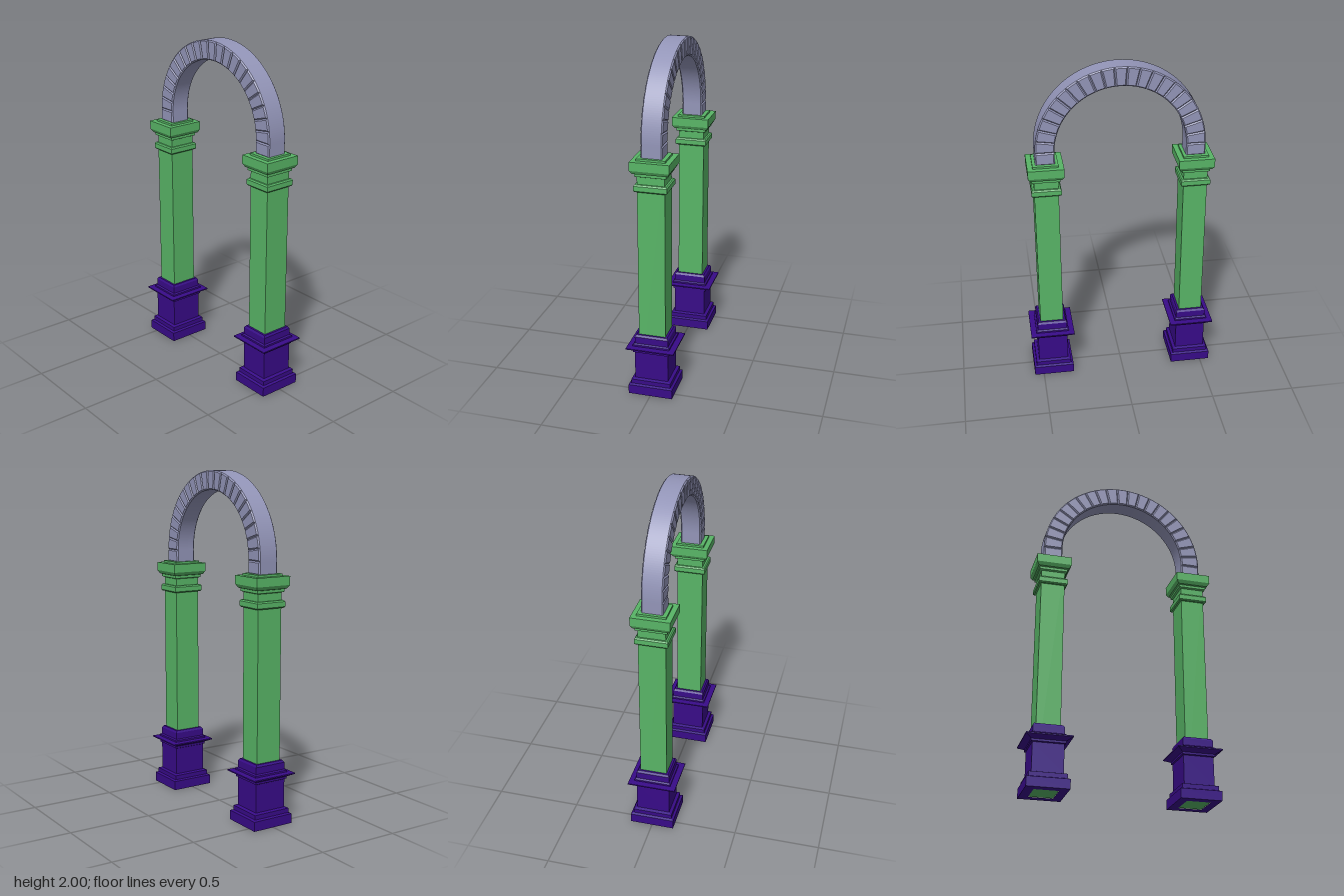
import * as THREE from 'three';

const purple = new THREE.MeshStandardMaterial({ color: 0x380b88, flatShading: true });
const green = new THREE.MeshStandardMaterial({ color: 0x58b566, flatShading: true });
const stone = new THREE.MeshStandardMaterial({ color: 0x9395b8, flatShading: true });

const HALF_X = 0.07, HALF_Z = 0.079; // pillar shaft half sizes
const PILLAR_X = 0.434;
const SPRING_Y = 1.51, OUTER = 0.49, INNER = 0.378, ARCH_HALF_Z = 0.062;

// Sweeps a moulding profile of [offset from shaft, y] around the rectangular shaft.
function moulding(name, profile, material) {
  const pos = [];
  const corner = ([o, y], k) => [
    (k === 0 || k === 3 ? 1 : -1) * (HALF_X + o), y, (k < 2 ? 1 : -1) * (HALF_Z + o)];
  for (let i = 0; i < profile.length - 1; i++) {
    for (let k = 0; k < 4; k++) {
      const n = (k + 1) % 4;
      const a = corner(profile[i], k), b = corner(profile[i], n);
      const c = corner(profile[i + 1], n), d = corner(profile[i + 1], k);
      pos.push(...a, ...c, ...b, ...a, ...d, ...c);
    }
  }
  const geo = new THREE.BufferGeometry();
  geo.setAttribute('position', new THREE.Float32BufferAttribute(pos, 3));
  geo.computeVertexNormals();
  const mesh = new THREE.Mesh(geo, material);
  mesh.name = name;
  return mesh;
}

function pillar(side) {
  const group = new THREE.Group();
  group.name = side > 0 ? 'leftPillar' : 'rightPillar';

  // Pedestal: plinth, die, projecting cornice and bevelled top block
  group.add(moulding('pedestal', [
    [0, 0], [0.052, 0], [0.052, 0.056], [0.038, 0.062], [0.038, 0.088], [0.02, 0.094],
    [0.02, 0.26], [0.028, 0.264], [0.028, 0.276], [0.042, 0.284], [0.063, 0.294],
    [0.063, 0.301], [0.03, 0.304], [0.03, 0.314], [0.02, 0.32], [0.02, 0.36],
    [0.012, 0.372], [0, 0.372],
  ], purple));

  // Shaft runs from the ground up to the slab under the arch
  const shaft = new THREE.Mesh(new THREE.BoxGeometry(HALF_X * 2, 1.438, HALF_Z * 2), green);
  shaft.name = 'shaft';
  shaft.position.y = 0.721;
  group.add(shaft);

  group.add(moulding('neckRing', [
    [0, 1.25], [0.01, 1.25], [0.016, 1.257], [0.016, 1.285], [0.01, 1.293], [0, 1.293],
  ], green));

  group.add(moulding('capital', [
    [0, 1.335], [0.012, 1.34], [0.012, 1.355], [0.022, 1.358], [0.034, 1.378],
    [0.034, 1.428], [0.004, 1.428], [0.004, 1.44], [0, 1.44],
  ], green));

  group.position.x = side * PILLAR_X;
  return group;
}

// A stone outline extruded across the arch, with chamfered front and back edges
function stoneMesh(name, shape) {
  const b = 0.007;
  const geo = new THREE.ExtrudeGeometry(shape, {
    depth: 2 * (ARCH_HALF_Z - b), bevelThickness: b, bevelSize: b, bevelOffset: -b,
    bevelSegments: 1, curveSegments: 3,
  });
  geo.translate(0, 0, -(ARCH_HALF_Z - b));
  const mesh = new THREE.Mesh(geo, stone);
  mesh.name = name;
  return mesh;
}

function arch() {
  const group = new THREE.Group();
  group.name = 'arch';

  // Ring of wedge stones
  const count = 21, step = Math.PI / count;
  for (let i = 0; i < count; i++) {
    const a = i * step;
    const wedge = new THREE.Shape();
    wedge.absarc(0, 0, OUTER, a, a + step, false);
    wedge.absarc(0, 0, INNER, a + step, a, true);
    const mesh = stoneMesh('archStone', wedge);
    mesh.position.y = SPRING_Y;
    group.add(mesh);
  }

  // Straight springer stone on each pillar
  const foot = 1.436;
  for (const s of [-1, 1]) {
    const [x0, x1] = s > 0 ? [INNER, OUTER] : [-OUTER, -INNER];
    group.add(stoneMesh('springerStone', new THREE.Shape([
      new THREE.Vector2(x0, foot), new THREE.Vector2(x1, foot),
      new THREE.Vector2(x1, SPRING_Y), new THREE.Vector2(x0, SPRING_Y),
    ])));
  }
  return group;
}

export function createModel() {
  const model = new THREE.Group();
  model.name = 'archway';
  model.add(pillar(-1), pillar(1), arch());
  return model;
}
